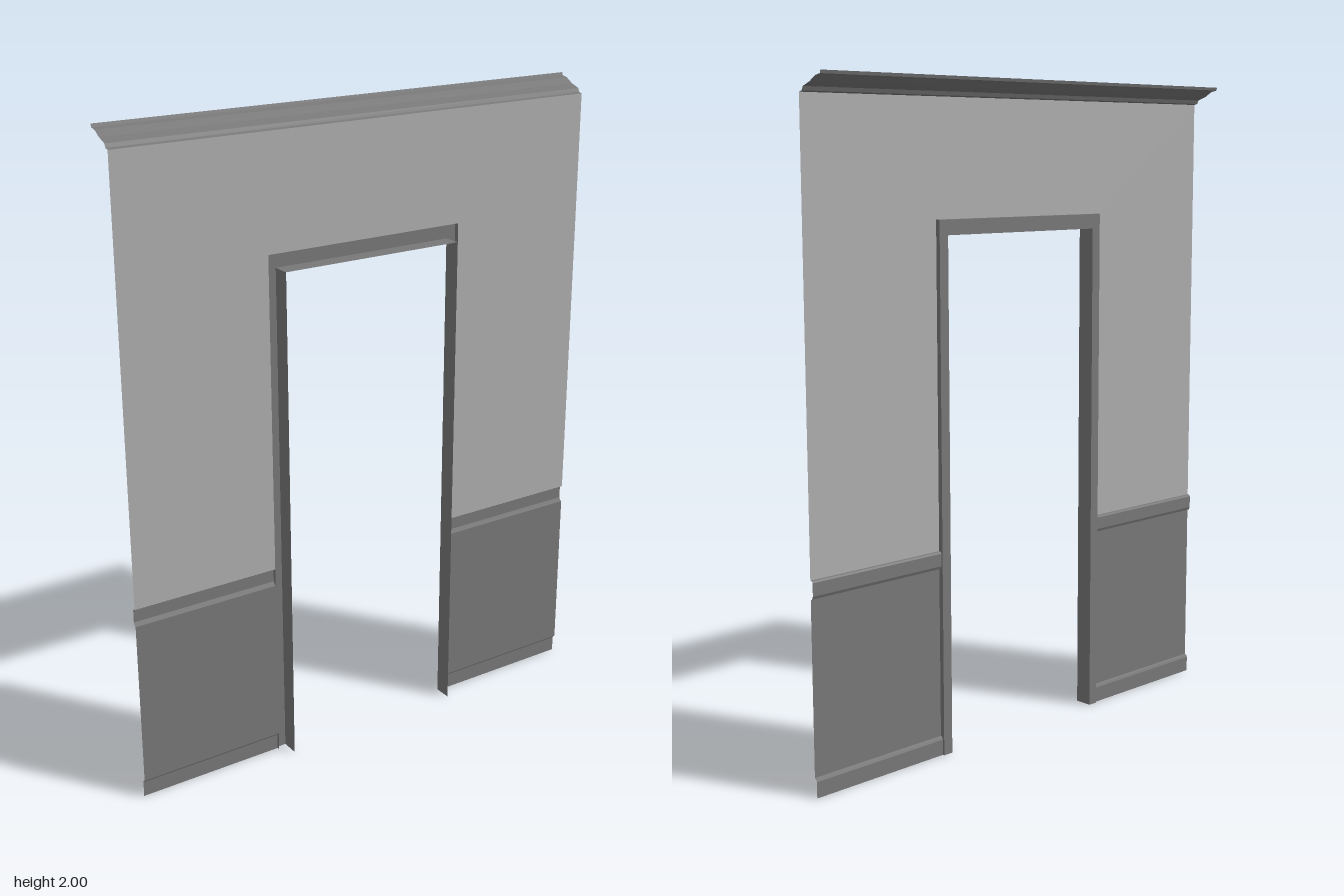
import * as THREE from 'three';

const W = 0.8, DOOR = 0.3, TRIM = 0.332, TRIM_TOP = 1.602, WALL_Z = 0.027;
const paint = color => new THREE.MeshStandardMaterial({ color, side: THREE.DoubleSide, flatShading: true });
const wallPaint = paint(0xaeaeae), trimPaint = paint(0x787878);

// Open surface through consecutive rings of [x, y, z] points
function loft(name, rings) {
  const pos = [];
  for (let i = 0; i < rings.length - 1; i++) {
    for (let j = 0; j < rings[i].length - 1; j++) {
      const a = rings[i][j], b = rings[i + 1][j], c = rings[i + 1][j + 1], d = rings[i][j + 1];
      pos.push(...a, ...c, ...b, ...a, ...d, ...c);
    }
  }
  const geo = new THREE.BufferGeometry();
  geo.setAttribute('position', new THREE.Float32BufferAttribute(pos, 3));
  geo.computeVertexNormals();
  const mesh = new THREE.Mesh(geo, trimPaint);
  mesh.name = name;
  return mesh;
}

// Straight moulding: a [z, y] profile, bottom to top, run along x
function moulding(name, profile, x0, x1) {
  return loft(name, [x0, x1].map(x => profile.map(([z, y]) => [x, y, z])));
}

export function createModel() {
  const model = new THREE.Group();

  // Upper wall, notched around the doorway
  const shape = new THREE.Shape([
    [-W, 0.63], [-TRIM, 0.63], [-TRIM, TRIM_TOP], [TRIM, TRIM_TOP],
    [TRIM, 0.63], [W, 0.63], [W, 1.947], [-W, 1.947],
  ].map(([x, y]) => new THREE.Vector2(x, y)));
  const wallGeo = new THREE.ShapeGeometry(shape);
  wallGeo.rotateY(Math.PI).translate(0, 0, WALL_Z); // faces the room, at -z
  const wall = new THREE.Mesh(wallGeo, wallPaint);
  wall.name = 'upperWall';
  model.add(wall);

  // Cornice stepping out to the room side
  model.add(moulding('cornice', [
    [WALL_Z, 1.947], [0.015, 1.95], [0.01, 1.961], [-0.02, 1.972],
    [-0.045, 1.987], [-0.065, 1.991], [-0.068, 2],
  ], -W, W));

  // Baseboard, lower panel and chair rail on each side of the doorway
  for (const [side, x0, x1] of [['right', -W, -TRIM], ['left', TRIM, W]]) {
    model.add(moulding(side + 'Baseboard', [
      [0.018, 0], [0.018, 0.048], [0.021, 0.055], [WALL_Z, 0.058],
    ], x0, x1));
    model.add(moulding(side + 'LowerPanel', [[WALL_Z, 0.058], [WALL_Z, 0.575]], x0, x1));
    model.add(moulding(side + 'ChairRail', [
      [WALL_Z, 0.575], [0.021, 0.577], [0.017, 0.586], [0.017, 0.624], [0.02, 0.629], [WALL_Z, 0.63],
    ], x0, x1));
  }

  // Door casing and deep reveal, mitred at the two top corners
  const section = [
    [TRIM, TRIM_TOP, WALL_Z], [TRIM, TRIM_TOP, 0.012], [DOOR, 1.557, 0.012], [DOOR, 1.557, 0.068],
  ];
  const ring = (side, top) => section.map(([x, y, z]) => [side * x, top ? y : 0, z]);
  model.add(loft('doorFrame', [ring(1, false), ring(1, true), ring(-1, true), ring(-1, false)]));

  return model;
}
